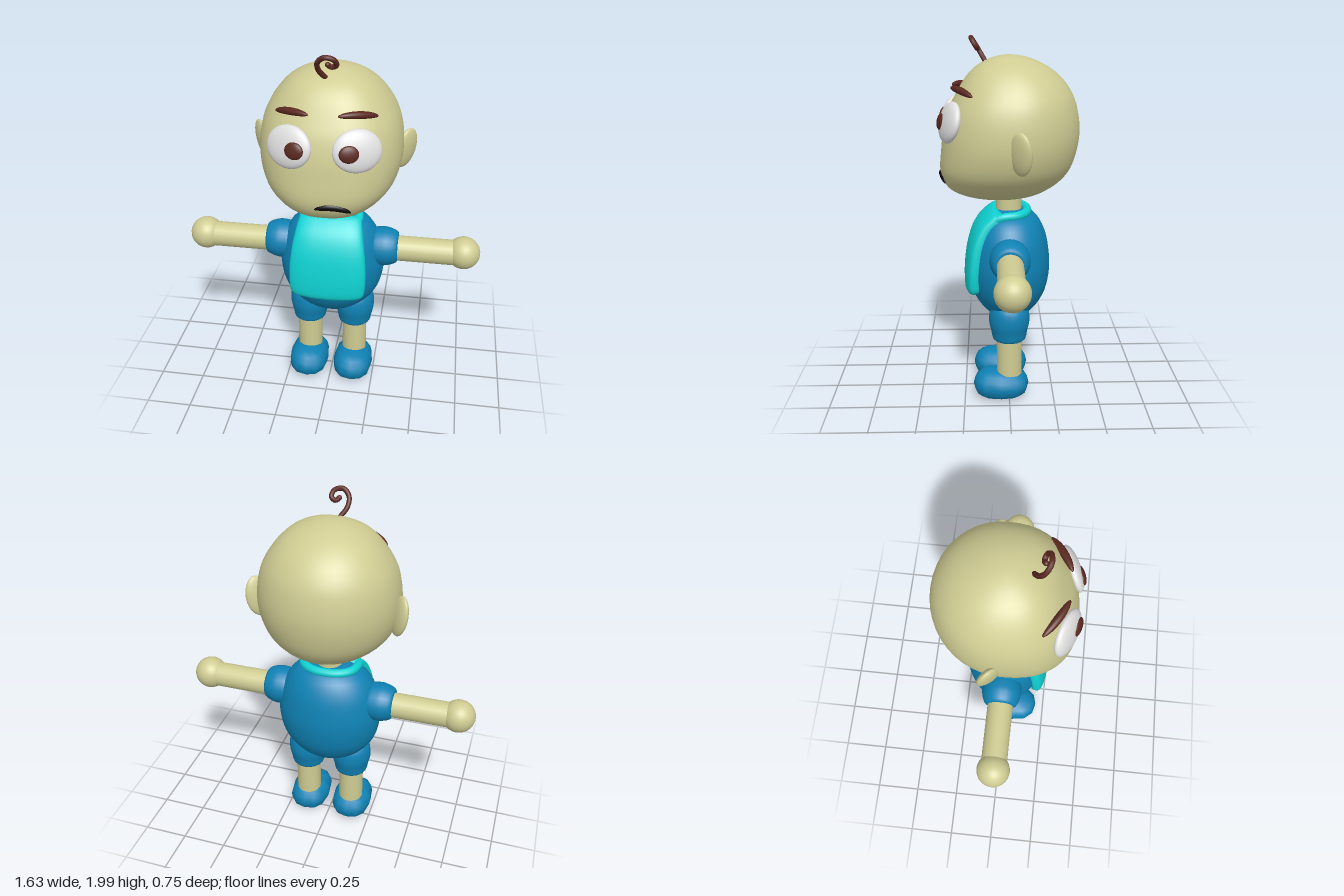
import * as THREE from 'three';

const mat = (name, color) => Object.assign(new THREE.MeshStandardMaterial({ color }), { name });

// Closed smooth skin through rings of points, each running from +x towards +z
function loft(rings) {
  const n = rings[0].length, index = [];
  for (let i = 0; i < rings.length - 1; i++) {
    for (let j = 0; j < n; j++) {
      const a = i * n + j, b = i * n + (j + 1) % n;
      index.push(a, a + n, b, b, a + n, b + n);
    }
  }
  const g = new THREE.BufferGeometry().setFromPoints(rings.flat());
  g.setIndex(index);
  g.computeVertexNormals();
  return g;
}

// Smoothly resample rows of three numbers
function smoothRows(rows, steps) {
  const curve = new THREE.CatmullRomCurve3(rows.map(r => new THREE.Vector3(...r)), false, 'catmullrom', 0.5);
  return curve.getPoints(steps);
}

const spow = (v, p) => Math.sign(v) * Math.abs(v) ** p;

function headGeometry() {
  // y, half width, front z, back z
  const rows = [
    [1.137, 0.001, 0.03, 0.029], [1.145, 0.08, 0.13, -0.05], [1.165, 0.15, 0.23, -0.15],
    [1.2, 0.22, 0.31, -0.22], [1.25, 0.283, 0.35, -0.285], [1.32, 0.335, 0.366, -0.335],
    [1.42, 0.365, 0.358, -0.365], [1.52, 0.368, 0.345, -0.375], [1.62, 0.352, 0.318, -0.362],
    [1.7, 0.32, 0.278, -0.335], [1.78, 0.265, 0.23, -0.28], [1.84, 0.2, 0.172, -0.205],
    [1.88, 0.12, 0.1, -0.12], [1.897, 0.05, 0.04, -0.05], [1.9, 0.001, 0.001, -0.001],
  ];
  const front = smoothRows(rows.map(r => [r[1], r[0], r[2]]), 42);
  const back = smoothRows(rows.map(r => [r[1], r[0], r[3]]), 42);
  return loft(front.map((f, i) => {
    const mid = (f.z + back[i].z) / 2, depth = (f.z - back[i].z) / 2;
    return Array.from({ length: 48 }, (_, j) => {
      const a = j / 48 * Math.PI * 2, p = Math.sin(a) > 0 ? 2 / 2.4 : 1;
      return new THREE.Vector3(f.x * spow(Math.cos(a), p), f.y, mid + depth * spow(Math.sin(a), p));
    });
  }));
}

function bibGeometry() {
  // half width, y, z of the slab's middle line
  const line = smoothRows([
    [0.19, 0.63, 0.2], [0.205, 0.68, 0.21], [0.21, 0.78, 0.207],
    [0.2, 0.9, 0.188], [0.185, 0.99, 0.15], [0.172, 1.045, 0.095], [0.165, 1.067, 0.05],
  ], 24);
  return loft(line.map((c, i) => {
    const a0 = line[Math.max(i - 1, 0)], a1 = line[Math.min(i + 1, 24)];
    const dir = new THREE.Vector2(a1.z - a0.z, a1.y - a0.y).normalize();
    const end = Math.min(i, 24 - i), round = [0.02, 0.72, 0.93][end] ?? 1;
    const wide = [0.02, 0.9, 0.97][end] ?? 1;
    return Array.from({ length: 32 }, (_, j) => {
      const a = j / 32 * Math.PI * 2;
      const u = spow(Math.cos(a), 0.5), v = spow(Math.sin(a), 0.5) * 0.036 * round;
      return new THREE.Vector3(c.x * wide * u, c.y - dir.x * v, c.z + dir.y * v - 0.022 * u * u);
    });
  }));
}

// Ellipsoid, optionally bent down and back towards its x ends
function blob(rx, ry, rz, bendY = 0, bendZ = 0) {
  const g = new THREE.SphereGeometry(1, 28, 18).scale(rx, ry, rz);
  const p = g.attributes.position;
  for (let i = 0; i < p.count; i++) {
    const x = p.getX(i);
    p.setY(i, p.getY(i) - bendY * x * x);
    p.setZ(i, p.getZ(i) - bendZ * x * x);
  }
  if (bendY || bendZ) g.computeVertexNormals();
  return g;
}

function shoeGeometry() {
  const g = new THREE.SphereGeometry(1, 12, 8), p = g.attributes.position;
  for (let i = 0; i < p.count; i++) {
    p.setXYZ(i, 0.115 * spow(p.getX(i), 0.9), 0.083 * spow(p.getY(i), 0.8), 0.155 * spow(p.getZ(i), 0.75));
  }
  g.computeVertexNormals();
  return g;
}

const lathe = (pts, seg) => new THREE.LatheGeometry(
  new THREE.SplineCurve(pts.map(p => new THREE.Vector2(...p))).getPoints(pts.length * 3), seg);

export function createModel() {
  const skin = mat('skin', 0xcfcc93), blue = mat('suit blue', 0x0f82b4), cyan = mat('bib cyan', 0x0fd2d2);
  const white = mat('eye white', 0xe0e0e0), brown = mat('hair brown', 0x5a2920), black = mat('mouth black', 0x0a0a0a);
  const model = new THREE.Group();
  const add = (name, geo, material, pos = [0, 0, 0], rot = [0, 0, 0]) => {
    const m = new THREE.Mesh(geo, material);
    m.name = name;
    m.position.set(...pos);
    m.rotation.set(...rot, 'ZYX');
    model.add(m);
    return m;
  };

  // Head and neck
  add('head', headGeometry(), skin);
  add('neck', new THREE.CylinderGeometry(0.07, 0.07, 0.14, 24), skin, [0, 1.11, 0]);

  // Torso
  add('torso', lathe([[0, 0.43], [0.1, 0.465], [0.2, 0.535], [0.265, 0.63], [0.29, 0.75],
    [0.282, 0.85], [0.255, 0.95], [0.195, 1.035], [0.1, 1.078], [0, 1.085]], 40), blue).scale.z = 0.78;

  // Bib with a collar strap round the neck
  add('bib', bibGeometry(), cyan);
  const strap = [[0.145, 1.045, 0.09], [0.15, 1.066, 0.03], [0.135, 1.07, -0.04], [0.08, 1.07, -0.085]];
  const strapPath = [...strap, [0, 1.07, -0.1], ...strap.map(([x, y, z]) => [-x, y, z]).reverse()];
  add('collar', new THREE.TubeGeometry(
    new THREE.CatmullRomCurve3(strapPath.map(p => new THREE.Vector3(...p))), 40, 0.024, 12), cyan);

  // Paired parts
  for (const s of [1, -1]) {
    const side = s > 0 ? 'left' : 'right';
    add(side + 'Ear', blob(0.07, 0.112, 0.028), skin, [s * 0.378, 1.45, -0.05], [0, s * 0.85, s * -0.17]);
    add(side + 'EyeWhite', blob(0.124, 0.107, 0.04), white, [s * 0.166, 1.575, 0.303], [-0.25, s * 0.37, 0]);
    add(side + 'Pupil', blob(0.05, 0.043, 0.018), brown, [s * 0.133, 1.575, 0.35], [-0.2, s * 0.3, 0]);
    add(side + 'Eyebrow', blob(0.107, 0.018, 0.02, 0.8, 0.6), brown, [s * 0.166, 1.735, 0.247], [0, s * 0.55, s * -0.15]);

    add(side + 'Sleeve', lathe([[0, 0.18], [0.09, 0.21], [0.108, 0.28], [0.102, 0.325],
      [0.085, 0.362], [0.06, 0.366]], 24), blue, [0, 0.873, 0], [0, 0, s * -Math.PI / 2]);
    add(side + 'Arm', new THREE.CylinderGeometry(0.07, 0.07, 0.4, 24), skin, [s * 0.49, 0.866, 0], [0, 0, Math.PI / 2]);
    add(side + 'Hand', blob(0.09, 0.09, 0.09), skin, [s * 0.724, 0.87, 0]);

    add(side + 'ShortsLeg', lathe([[0.06, 0.366], [0.09, 0.367], [0.1, 0.41], [0.112, 0.475],
      [0.1, 0.55], [0.05, 0.6], [0, 0.61]], 18), blue, [s * 0.132, 0, 0]);
    add(side + 'Leg', new THREE.CylinderGeometry(0.07, 0.07, 0.34, 24), skin, [s * 0.132, 0.27, 0]);
    add(side + 'Shoe', shoeGeometry(), blue, [s * 0.132, 0.088, 0.046]);
  }

  // Crooked mouth
  add('mouth', blob(0.092, 0.018, 0.014, 2.8, 1.2), black, [0.058, 1.287, 0.356], [0, 0.14, -0.1]);

  // Hair curl leaning forward
  const curl = [[-0.015, 1.865], [-0.045, 1.91], [-0.045, 1.955], [-0.01, 1.985], [0.035, 1.975],
    [0.045, 1.945], [0.02, 1.932], [0.003, 1.945]];
  const curlPath = new THREE.CatmullRomCurve3(curl.map(([x, y]) => new THREE.Vector3(x, y, 0.13 + (y - 1.88) * 0.6)));
  add('hairCurl', new THREE.TubeGeometry(curlPath, 48, 0.013, 10), brown);
  add('hairTip', blob(0.013, 0.013, 0.013), brown, curlPath.getPoint(1).toArray());

  return model;
}
